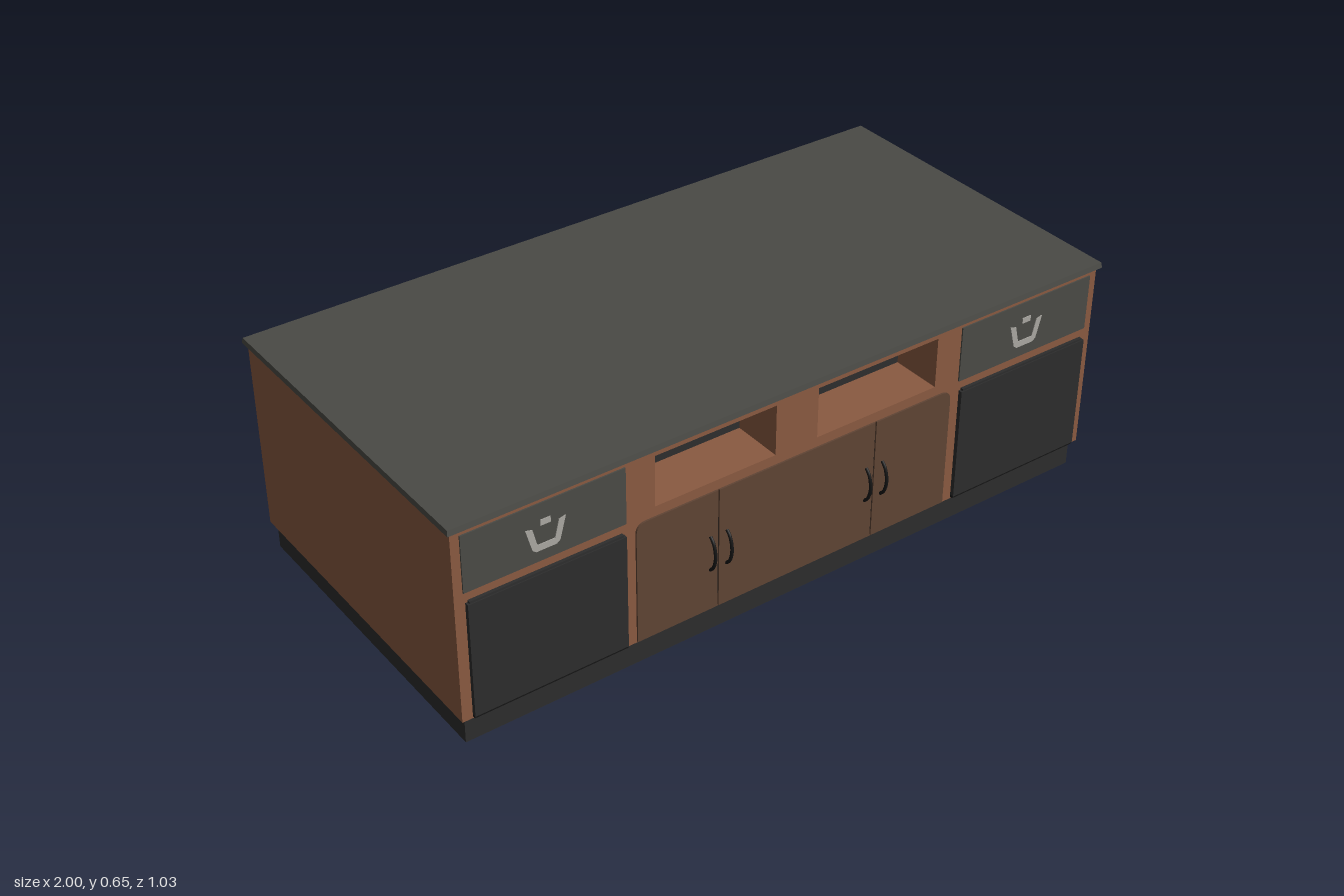
import * as THREE from 'three';

const mat = (name, hex) => {
  const m = new THREE.MeshStandardMaterial({ color: hex });
  m.name = name;
  return m;
};

export function createModel() {
  const wood = mat('wood', 0x8a5a41);
  const doorWood = mat('doorWood', 0x5f4434);
  const stone = mat('stone', 0x4a4a45);
  const charcoal = mat('charcoal', 0x2d2d2d);
  const black = mat('black', 0x141414);
  const steel = mat('steel', 0xaaa8a2);

  const root = new THREE.Group();
  root.name = 'kitchenIsland';

  const add = (parent, name, geometry, material) => {
    const mesh = new THREE.Mesh(geometry, material);
    mesh.name = name;
    parent.add(mesh);
    return mesh;
  };
  // Box given by its minimum and maximum corners
  const box = (parent, name, material, x0, x1, y0, y1, z0, z1) => {
    const m = add(parent, name, new THREE.BoxGeometry(x1 - x0, y1 - y0, z1 - z0), material);
    m.position.set((x0 + x1) / 2, (y0 + y1) / 2, (z0 + z1) / 2);
    return m;
  };
  // Rectangle outline whose top corners may be rounded
  const rect = (Kind, x0, x1, y0, y1, rl = 0, rr = 0) => {
    const s = new Kind();
    s.moveTo(x0, y0);
    s.lineTo(x1, y0);
    s.lineTo(x1, y1 - rr);
    if (rr) s.quadraticCurveTo(x1, y1, x1 - rr, y1);
    s.lineTo(x0 + rl, y1);
    if (rl) s.quadraticCurveTo(x0, y1, x0, y1 - rl);
    s.closePath();
    return s;
  };
  const extrude = (shape, depth) =>
    new THREE.ExtrudeGeometry(shape, { depth, bevelEnabled: false, curveSegments: 6 });

  // Base, core and worktop with slightly tapered edges
  const faceZ = 0.485, nicheDepth = 0.15, coreZ = faceZ - nicheDepth;
  box(root, 'plinth', charcoal, -0.977, 0.975, 0, 0.08, -0.471, 0.471);
  box(root, 'core', wood, -0.99, 0.99, 0.078, 0.632, -coreZ, coreZ);
  const top = box(root, 'worktop', stone, -1, 1, 0.631, 0.646, -0.496, 0.496);
  const p = top.geometry.attributes.position;
  for (let i = 0; i < p.count; i++) {
    if (p.getY(i) > 0) p.setXYZ(i, p.getX(i) * 0.998, p.getY(i), p.getZ(i) * 0.994);
  }
  top.geometry.computeVertexNormals();

  // Curved bar of a door handle
  const handleCurve = new THREE.CatmullRomCurve3([
    [0.206, 0.49], [0.22, 0.503], [0.257, 0.512], [0.294, 0.503], [0.308, 0.49],
  ].map(([y, z]) => new THREE.Vector3(0, y, z)));
  const handleGeo = new THREE.TubeGeometry(handleCurve, 16, 0.0045, 8, false);

  // Bail pull of a drawer: a thin open ring with a small mount above it
  const bail = new THREE.Shape();
  [[-0.055, 0.555], [-0.038, 0.492], [-0.028, 0.484], [0.028, 0.484], [0.038, 0.492], [0.055, 0.555],
    [0.036, 0.55], [0.024, 0.502], [-0.024, 0.502], [-0.036, 0.55],
  ].forEach(([x, y], i) => (i ? bail.lineTo(x, y) : bail.moveTo(x, y)));
  const bailGeo = extrude(bail, 0.003);

  // One long side of the island, facing +z
  const makeSide = (name, seams, corner) => {
    const side = new THREE.Group();
    side.name = name;

    // Facade with two open niches
    const niches = [[-0.435, -0.075], [0.055, 0.44]];
    const facade = rect(THREE.Shape, -0.99, 0.99, 0.078, 0.632);
    niches.forEach(([a, b]) => facade.holes.push(rect(THREE.Path, a, b, 0.465, 0.61)));
    add(side, 'facade', extrude(facade, nicheDepth), wood).position.z = coreZ;
    niches.forEach(([a, b]) =>
      box(side, 'nicheBack', charcoal, a, b, 0.465, 0.61, coreZ, coreZ + 0.004));

    // Cupboard doors over a dark backing that shows in the seams
    box(side, 'doorSeams', black, -0.485, 0.485, 0.085, 0.4, faceZ, faceZ + 0.001);
    for (let i = 0; i + 1 < seams.length; i++) {
      const rl = i === 0 ? corner : 0;
      const rr = i === seams.length - 2 ? corner : 0;
      const door = rect(THREE.Shape, seams[i] + 0.002, seams[i + 1] - 0.002, 0.082, 0.437, rl, rr);
      add(side, 'door', extrude(door, 0.005), doorWood).position.z = faceZ;
    }
    [-0.275, -0.225, 0.217, 0.27].forEach((x) =>
      (add(side, 'doorHandle', handleGeo, black).position.x = x));

    // Appliance front and drawer at each end
    for (const s of [-1, 1]) {
      const end = new THREE.Group();
      end.name = s < 0 ? 'rightEnd' : 'leftEnd';
      end.position.x = s * 0.743;
      box(end, 'applianceFront', charcoal, -0.218, 0.218, 0.09, 0.422, faceZ, 0.497);
      box(end, 'applianceTopRim', charcoal, -0.212, 0.212, 0.422, 0.428, faceZ, 0.494);
      box(end, 'applianceFoot', black, -0.218, 0.218, 0.083, 0.09, faceZ, 0.494);
      box(end, 'drawerFront', stone, -0.223, 0.223, 0.453, 0.614, faceZ, 0.489);
      add(end, 'drawerPull', bailGeo, steel).position.z = 0.488;
      box(end, 'pullMount', steel, -0.014, 0.014, 0.553, 0.569, 0.488, 0.491);
      side.add(end);
    }
    root.add(side);
    return side;
  };

  makeSide('frontSide', [-0.495, -0.25, 0.243, 0.495], 0.03);
  makeSide('backSide', [-0.495, -0.25, 0, 0.243, 0.495], 0).rotation.y = Math.PI;

  return root;
}
